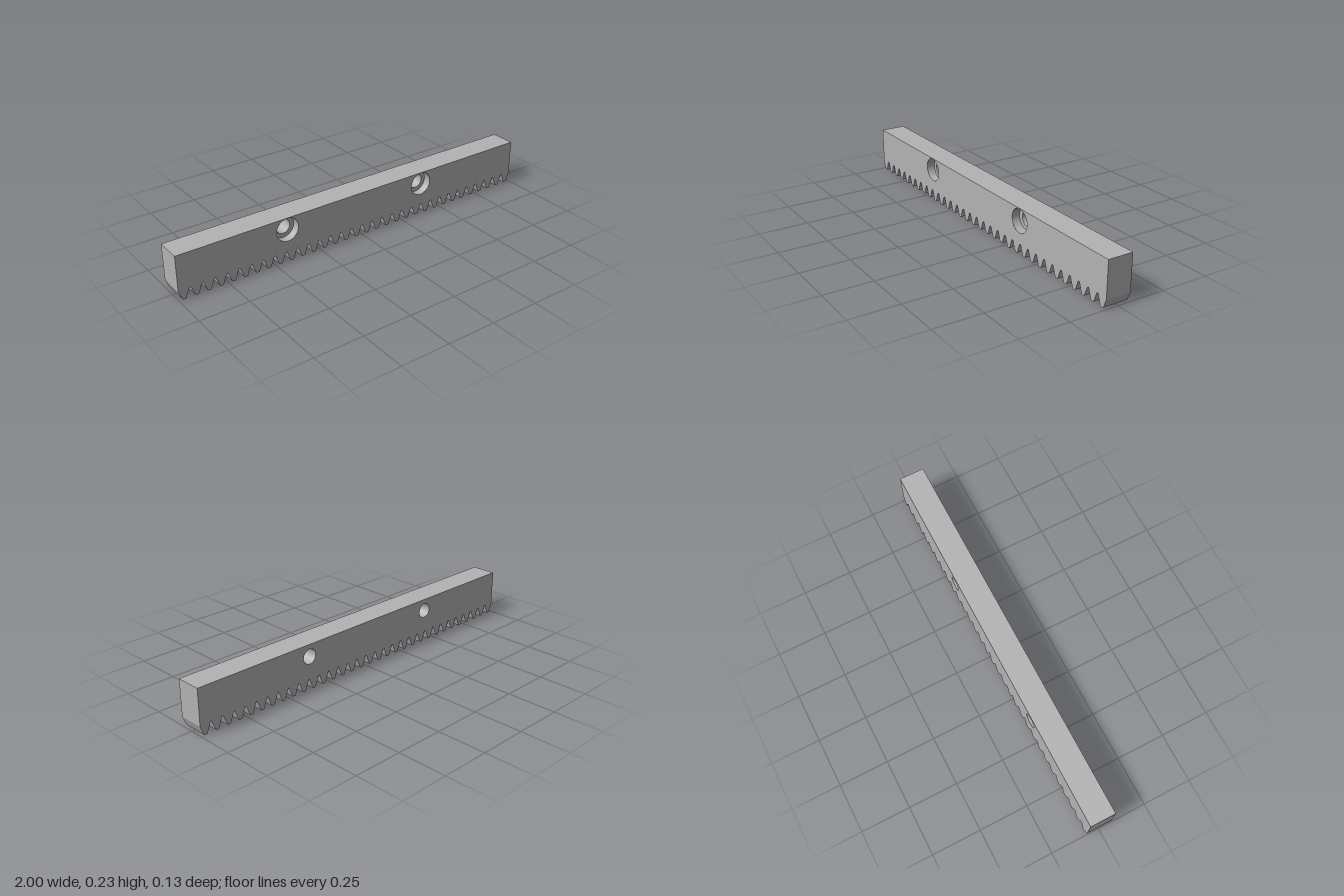
import * as THREE from 'three';

const HEIGHT = 0.23, HALF_DEPTH = 0.065;
const TEETH = 32, PITCH = 0.0628;
const HOLES = [-0.428, 0.37], HOLE_Y = 0.168;
const HOLE_R = 0.0375, BORE_R = 0.06, BORE_DEPTH = 0.042;

// Half of one tooth, from the tip up to the middle of the rounded gap
const HALF_TOOTH = [[0.0065, 0], [0.009, 0.002], [0.0252, 0.046], [0.0272, 0.0505], [0.0293, 0.0525], [0.0314, 0.053]];

// Counter-clockwise outline of the toothed bar
function outline() {
  const pts = [new THREE.Vector2(-1, 0.046)];
  for (let i = 0; i < TEETH; i++) {
    const cx = (i - (TEETH - 1) / 2) * PITCH;
    const left = i === 0 ? HALF_TOOTH.slice(0, 2) : HALF_TOOTH.slice(0, 5);
    const right = i === TEETH - 1 ? HALF_TOOTH.slice(0, 2) : HALF_TOOTH;
    for (const [x, y] of [...left].reverse()) pts.push(new THREE.Vector2(cx - x, y));
    for (const [x, y] of right) pts.push(new THREE.Vector2(cx + x, y));
  }
  pts.push(new THREE.Vector2(1, 0.046), new THREE.Vector2(1, HEIGHT), new THREE.Vector2(-1, HEIGHT));
  return pts;
}

// Flat front (side = 1) or back (side = -1) face with its round openings
function faceGeometry(pts, radius, side) {
  const shape = new THREE.Shape(pts.map(p => new THREE.Vector2(p.x * side, p.y)));
  for (const x of HOLES) {
    const hole = new THREE.Path();
    hole.absarc(x * side, HOLE_Y, radius, 0, Math.PI * 2, false);
    shape.holes.push(hole);
  }
  const geo = new THREE.ShapeGeometry(shape, 32);
  geo.translate(0, 0, HALF_DEPTH);
  if (side < 0) geo.rotateY(Math.PI);
  return geo;
}

// Band of flat quads that follows the outline from back to front
function wallGeometry(pts) {
  const pos = [];
  pts.forEach((a, i) => {
    const b = pts[(i + 1) % pts.length], d = HALF_DEPTH;
    pos.push(a.x, a.y, -d, b.x, b.y, -d, b.x, b.y, d);
    pos.push(a.x, a.y, -d, b.x, b.y, d, a.x, a.y, d);
  });
  const geo = new THREE.BufferGeometry();
  geo.setAttribute('position', new THREE.Float32BufferAttribute(pos, 3));
  geo.computeVertexNormals();
  return geo;
}

export function createModel() {
  const model = new THREE.Group();
  model.name = 'gearRack';
  const steel = new THREE.MeshStandardMaterial({ color: 0xb3b3b3 });
  steel.name = 'steel grey';

  const add = (parent, name, geo) => {
    const mesh = new THREE.Mesh(geo, steel);
    mesh.name = name;
    parent.add(mesh);
  };

  // Toothed bar
  const pts = outline();
  add(model, 'frontFace', faceGeometry(pts, BORE_R, 1));
  add(model, 'backFace', faceGeometry(pts, HOLE_R, -1));
  add(model, 'toothedWall', wallGeometry(pts));

  // Counterbored screw holes, each surface turned about the hole axis
  const floorZ = HALF_DEPTH - BORE_DEPTH;
  const sections = {
    counterboreWall: [[BORE_R, HALF_DEPTH], [BORE_R, floorZ]],
    counterboreFloor: [[BORE_R, floorZ], [HOLE_R, floorZ]],
    holeWall: [[HOLE_R, floorZ], [HOLE_R, -HALF_DEPTH]],
  };
  for (const x of HOLES) {
    const hole = new THREE.Group();
    hole.name = 'screwHole';
    hole.position.set(x, HOLE_Y, 0);
    for (const [name, profile] of Object.entries(sections)) {
      const geo = new THREE.LatheGeometry(profile.map(p => new THREE.Vector2(...p)), 32);
      add(hole, name, geo.rotateX(Math.PI / 2));
    }
    model.add(hole);
  }
  return model;
}
